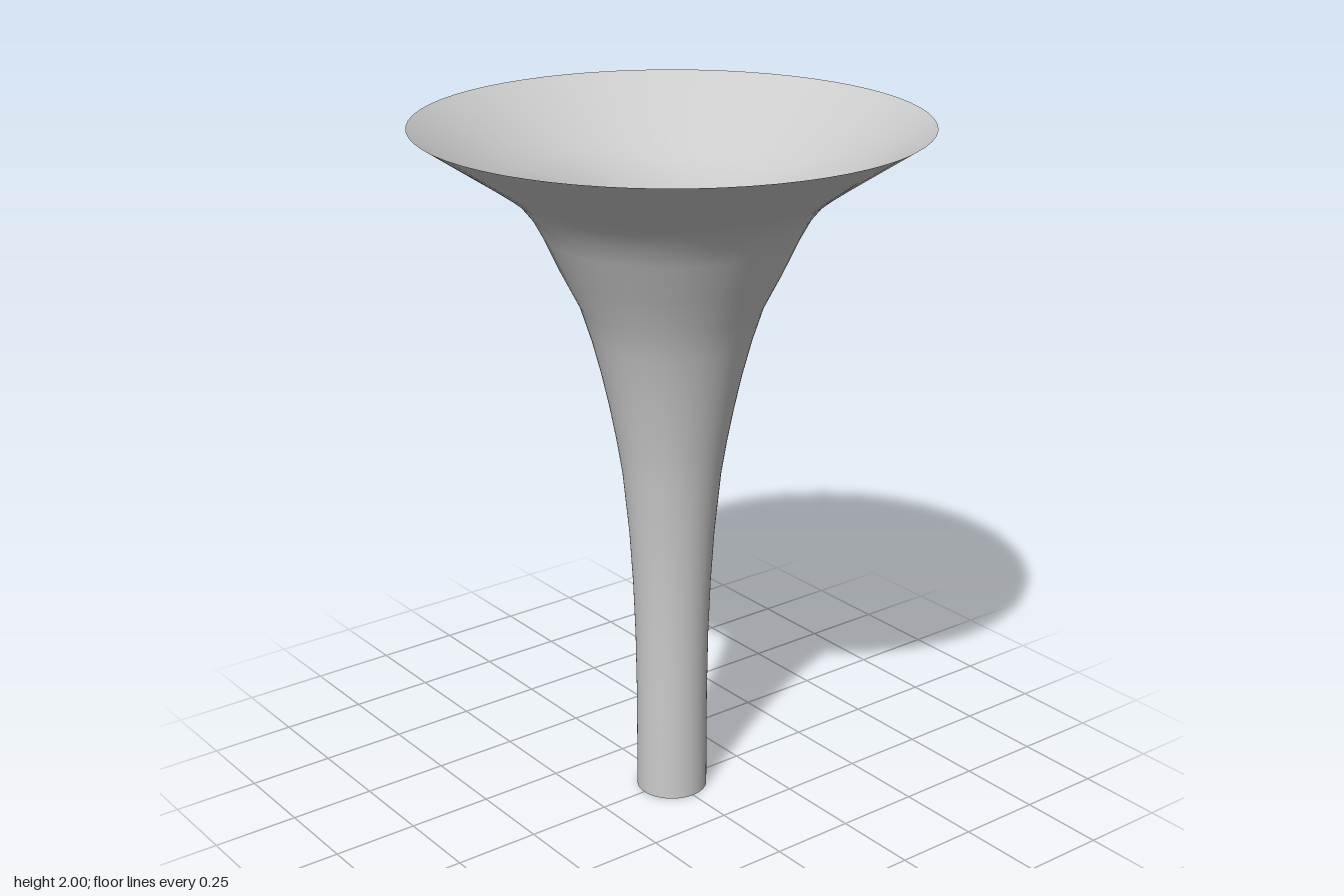
import * as THREE from 'three';

export function createModel() {
  const group = new THREE.Group();
  group.name = 'horn';

  // Radius and height along the wall, from the open tube end to the flared rim
  const profile = [
    [0.103, 0], [0.103, 0.3], [0.106, 0.5], [0.112, 0.66], [0.122, 0.82],
    [0.14, 1.0], [0.156, 1.1], [0.175, 1.2], [0.197, 1.3], [0.223, 1.4],
    [0.254, 1.497], [0.306, 1.6], [0.352, 1.7], [0.382, 1.756],
    [0.42, 1.803], [0.462, 1.836], [0.508, 1.868], [0.705, 2],
  ].map(([r, y]) => new THREE.Vector2(r, y));

  // Thin flared wall, open at both ends
  const bell = new THREE.Mesh(
    new THREE.LatheGeometry(profile, 64),
    new THREE.MeshStandardMaterial({ color: 0xcccccc, side: THREE.DoubleSide })
  );
  bell.name = 'flaredTube';
  group.add(bell);

  return group;
}
